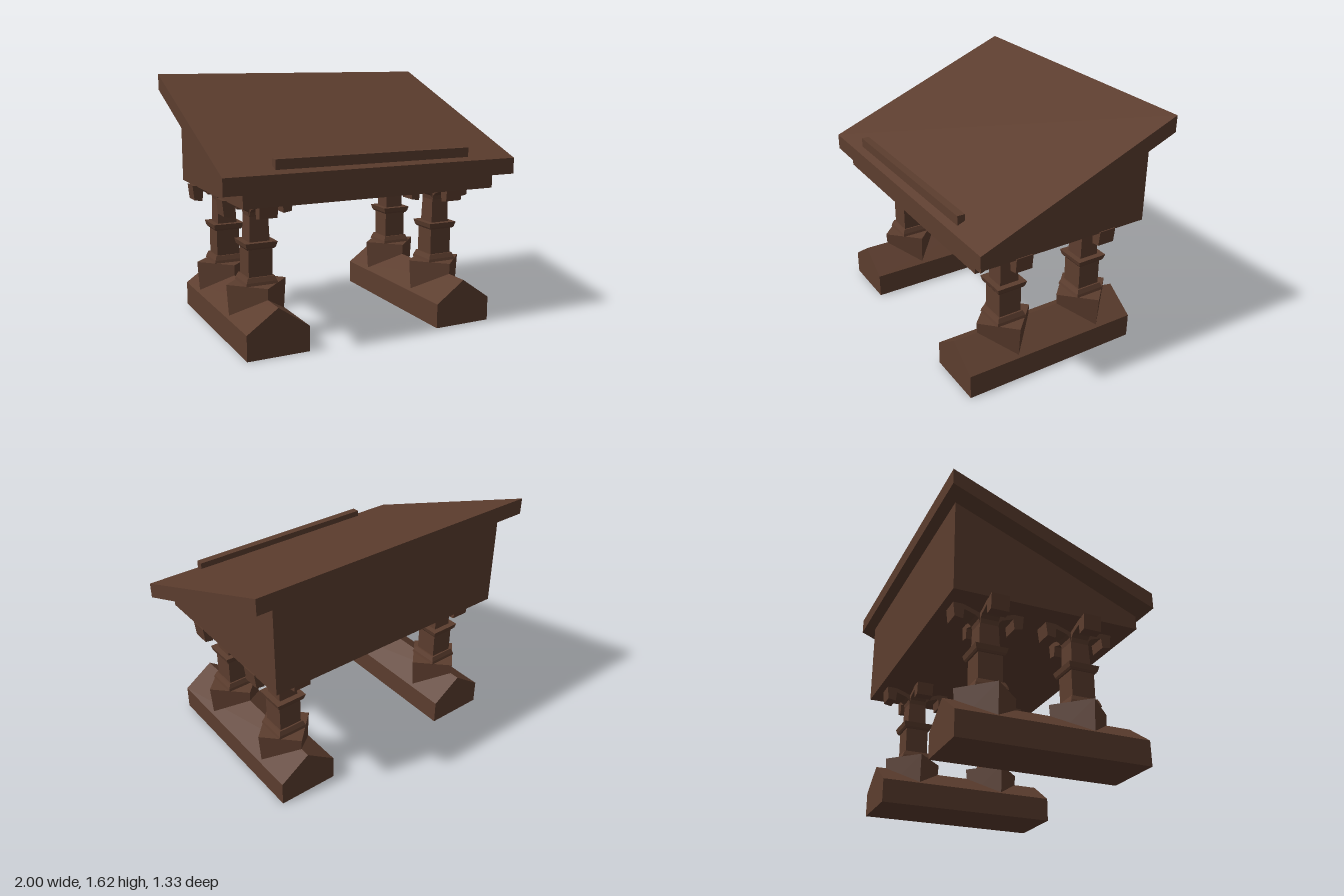
import * as THREE from 'three';

const wood = new THREE.MeshStandardMaterial({ color: 0x5c3d2e });
wood.name = 'dark brown wood';

function part(name, geometry) {
  const flat = geometry.index ? geometry.toNonIndexed() : geometry;
  flat.computeVertexNormals();
  const mesh = new THREE.Mesh(flat, wood);
  mesh.name = name;
  return mesh;
}

// Profile points extruded symmetrically about depth 0
function slab(points, depth) {
  const shape = new THREE.Shape(points.map(([x, y]) => new THREE.Vector2(x, y)));
  return new THREE.ExtrudeGeometry(shape, { depth, bevelEnabled: false }).translate(0, 0, -depth / 2);
}

// Side profile given as [z, y], extruded along x
function sideSlab(points, width) {
  return slab(points.map(([z, y]) => [-z, y]), width).rotateY(Math.PI / 2);
}

// Square tapered block, given half widths and heights
function square(bottom, top, y0, y1) {
  return new THREE.CylinderGeometry(top * Math.SQRT2, bottom * Math.SQRT2, y1 - y0, 4)
    .rotateY(Math.PI / 4)
    .translate(0, (y0 + y1) / 2, 0);
}

function createColumn() {
  const column = new THREE.Group();
  column.name = 'column';

  // Diamond plinth straddling the ridge of the foot
  column.add(part('plinth', new THREE.CylinderGeometry(0.197, 0.182, 0.22, 4).translate(0, 0.26, 0)));

  // Stacked square mouldings and shafts
  const blocks = [
    ['baseMoulding', 0.104, 0.1, 0.37, 0.388],
    ['baseSlope', 0.1, 0.088, 0.388, 0.418],
    ['lowerShaft', 0.078, 0.078, 0.418, 0.592],
    ['collarSlope', 0.088, 0.096, 0.592, 0.604],
    ['collar', 0.096, 0.104, 0.604, 0.635],
    ['upperShaft', 0.066, 0.06, 0.635, 0.8],
    ['capitalCore', 0.06, 0.055, 0.8, 0.86],
  ];
  for (const [name, ...size] of blocks) column.add(part(name, square(...size)));

  // Four curling leaves with hanging ends
  const leaf = [
    [0.03, 0.79], [0.06, 0.79], [0.066, 0.82], [0.085, 0.838], [0.158, 0.862],
    [0.165, 0.797], [0.219, 0.806], [0.23, 0.905], [0.155, 0.892], [0.04, 0.852],
  ];
  for (let i = 0; i < 4; i++) {
    const arm = part('capitalLeaf', slab(leaf, 0.116));
    arm.rotation.y = (i * Math.PI) / 2;
    column.add(arm);
  }
  return column;
}

export function createModel() {
  const model = new THREE.Group();
  model.name = 'writingDesk';

  // Ridged sled feet, each carrying two columns
  const foot = [[-0.2, 0], [0.2, 0], [0.2, 0.16], [0, 0.3], [-0.2, 0.16]];
  for (const [side, x] of [['right', -0.67], ['left', 0.64]]) {
    const leg = new THREE.Group();
    leg.name = side + 'Leg';
    leg.position.x = x;
    leg.add(part('foot', slab(foot, 1.225).translate(0, 0, 0.0325)));
    for (const z of [0.288, -0.319]) {
      const column = createColumn();
      column.position.z = z;
      leg.add(column);
    }
    model.add(leg);
  }

  // Wedge-shaped case
  model.add(part('deskCase', sideSlab(
    [[0.62, 0.895], [0.62, 0.985], [-0.6, 1.51], [-0.6, 0.895]], 1.73).translate(-0.003, 0, 0)));

  // Sloping lid, overhanging on all sides
  model.add(part('lid', sideSlab(
    [[0.665, 0.985], [0.665, 1.09], [-0.665, 1.625], [-0.665, 1.52]], 2)));

  // Ledge that stops things sliding off
  model.add(part('ledge', new THREE.BoxGeometry(1.334, 0.09, 0.05).translate(0, 1.125, 0.593)));

  return model;
}
